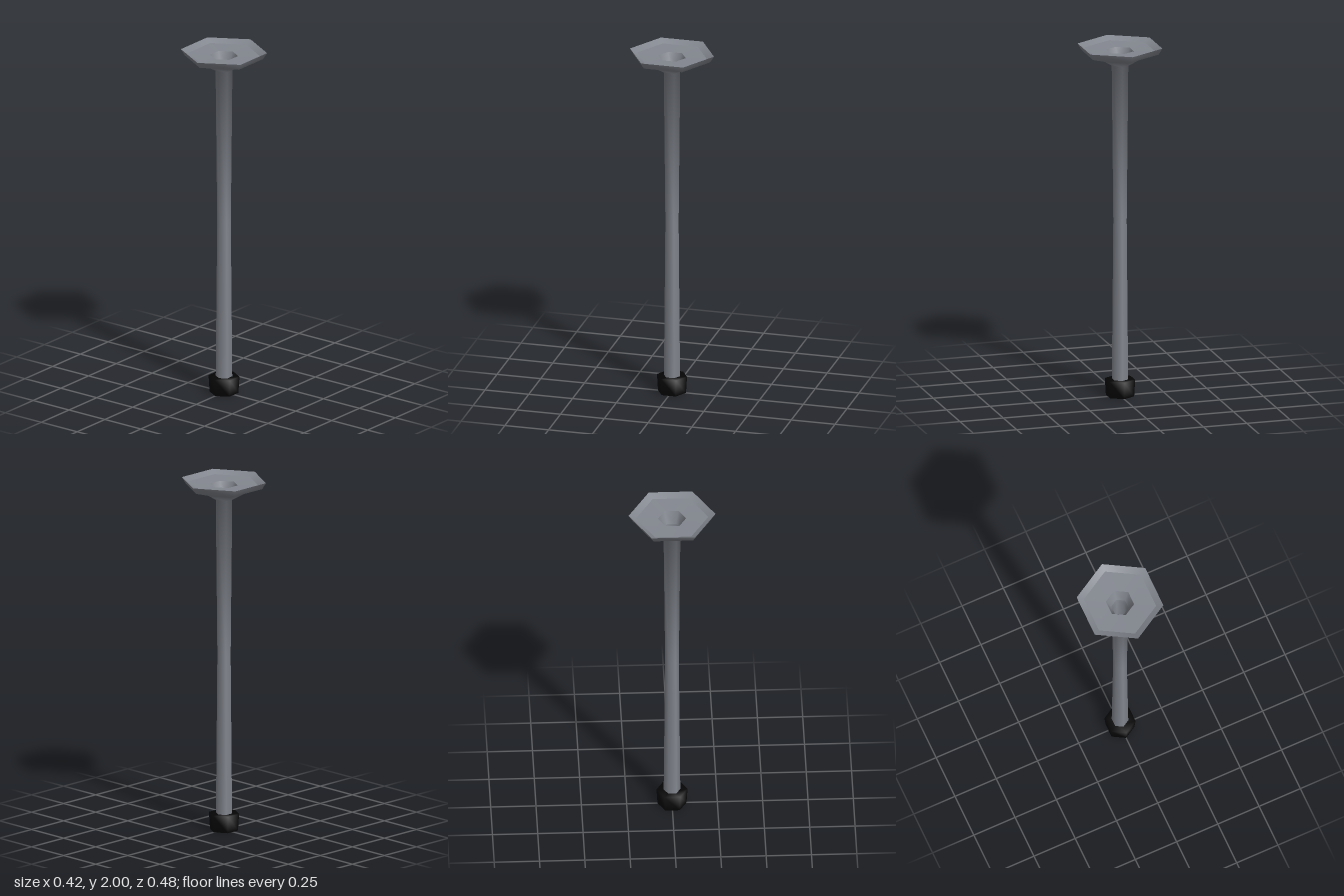
import * as THREE from 'three';

const steel = new THREE.MeshStandardMaterial({ color: 0x83878f });
steel.name = 'grey steel';
const rubber = new THREE.MeshStandardMaterial({ color: 0x060606 });
rubber.name = 'black rubber';

// Six-sided turned part; profile is [radius, height] pairs, corners point along z
function hexPart(name, profile, material) {
  const points = profile.map(([r, y]) => new THREE.Vector2(r, y));
  const geometry = new THREE.LatheGeometry(points, 6);

  // Smooth normals: each ring takes the even mean of its neighbouring slopes
  const slopes = points.slice(1).map((p, i) => p.clone().sub(points[i]).normalize());
  const normals = points.map((_, i) => {
    const t = new THREE.Vector2();
    if (i > 0) t.add(slopes[i - 1]);
    if (i < slopes.length) t.add(slopes[i]);
    return new THREE.Vector2(t.y, -t.x).normalize();
  });
  const attribute = geometry.attributes.normal;
  for (let k = 0; k < attribute.count; k++) {
    const n = normals[k % points.length];
    const angle = Math.floor(k / points.length) * Math.PI / 3;
    attribute.setXYZ(k, n.x * Math.sin(angle), n.y, n.x * Math.cos(angle));
  }

  const mesh = new THREE.Mesh(geometry, material);
  mesh.name = name;
  return mesh;
}

export function createModel() {
  const group = new THREE.Group();
  group.name = 'hexagonalPost';

  // Outside of the waisted pole, flaring smoothly into the head
  group.add(hexPart('poleAndHead', [
    [0.046, 0.095], [0.038, 1.0], [0.047, 1.89], [0.125, 1.935], [0.218, 1.964], [0.24, 2],
  ], steel));

  // Shallow dish on top with a hole in the middle
  group.add(hexPart('dishRim', [[0.24, 2], [0.2, 1.98]], steel));
  group.add(hexPart('dishFloor', [[0.2, 1.98], [0.078, 1.975]], steel));

  // Funnel and hollow inside of the pole, kept within its outer wall
  group.add(hexPart('funnel', [[0.078, 1.975], [0.048, 1.905]], steel));
  group.add(hexPart('bore', [[0.048, 1.905], [0.042, 1.87], [0.034, 1.0], [0.034, 0.095]], steel));

  // Rubber foot: a sleeve, open through the middle
  group.add(hexPart('foot', [
    [0.034, 0.095], [0.034, 0], [0.08, 0], [0.086, 0.095], [0.034, 0.095],
  ], rubber));

  return group;
}
